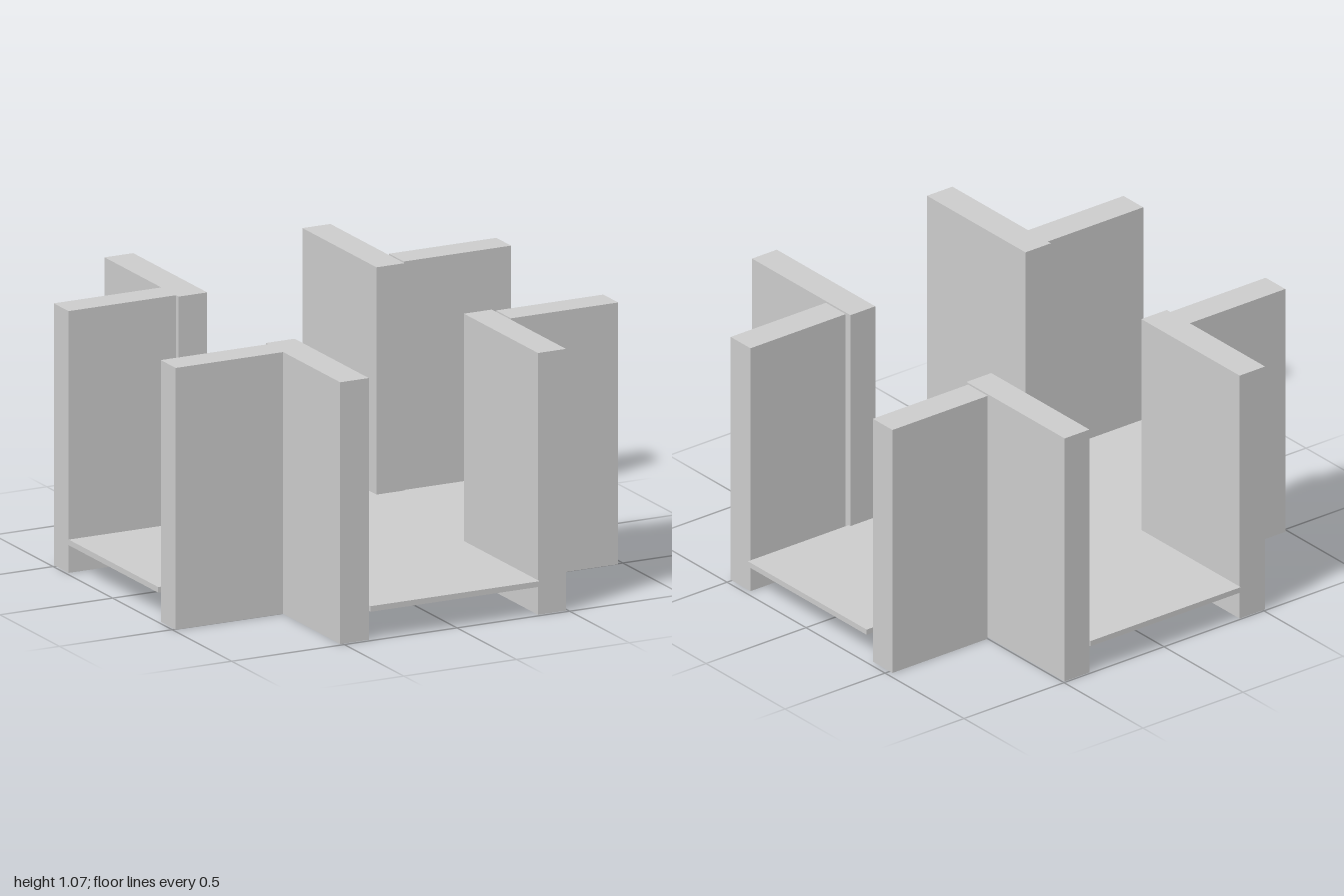
import * as THREE from 'three';

const material = new THREE.MeshStandardMaterial({ color: 0xcccccc, flatShading: true });

// Flat polygon in plan [x, z], raised from y0 to y1
function slab(name, points, y0, y1) {
  const shape = new THREE.Shape(points.map(([x, z]) => new THREE.Vector2(x, -z)));
  const geometry = new THREE.ExtrudeGeometry(shape, { depth: y1 - y0, bevelEnabled: false });
  geometry.rotateX(-Math.PI / 2).translate(0, y0, 0);
  const mesh = new THREE.Mesh(geometry, material);
  mesh.name = name;
  return mesh;
}

// Upright wall spanning given x and z ranges
function wall(name, [x0, x1], [z0, z1]) {
  const height = 1.07;
  const mesh = new THREE.Mesh(new THREE.BoxGeometry(x1 - x0, height, z1 - z0), material);
  mesh.position.set((x0 + x1) / 2, height / 2, (z0 + z1) / 2);
  mesh.name = name;
  return mesh;
}

export function createModel() {
  const model = new THREE.Group();
  model.name = 'crossRoom';

  // Thin cross-shaped floor
  const [l, r, b, f] = [-0.384, 0.367, -0.378, 0.374];
  model.add(slab('floor', [
    [l, 1], [r, 1], [r, f], [0.995, f], [0.995, b], [r, b],
    [r, -1], [l, -1], [l, b], [-0.995, b], [-0.995, f], [l, f],
  ], 0.118, 0.141));

  // Each corner: one wall running front to back, one running sideways
  const sides = [
    { side: 'Right', long: [-0.511, -0.384], cross: [-0.988, -0.511] },
    { side: 'Left', long: [0.367, 0.491], cross: [0.5, 0.976] },
  ];
  const ends = [
    { end: 'back', long: [-0.993, -0.371], cross: [-0.517, -0.393] },
    { end: 'front', long: [0.363, 0.986], cross: [0.382, 0.507] },
  ];
  for (const { side, long: longX, cross: crossX } of sides) {
    for (const { end, long: longZ, cross: crossZ } of ends) {
      const corner = new THREE.Group();
      corner.name = `${end}${side}Corner`;
      corner.add(wall('lengthwiseWall', longX, longZ), wall('sidewaysWall', crossX, crossZ));
      model.add(corner);
    }
  }
  return model;
}
